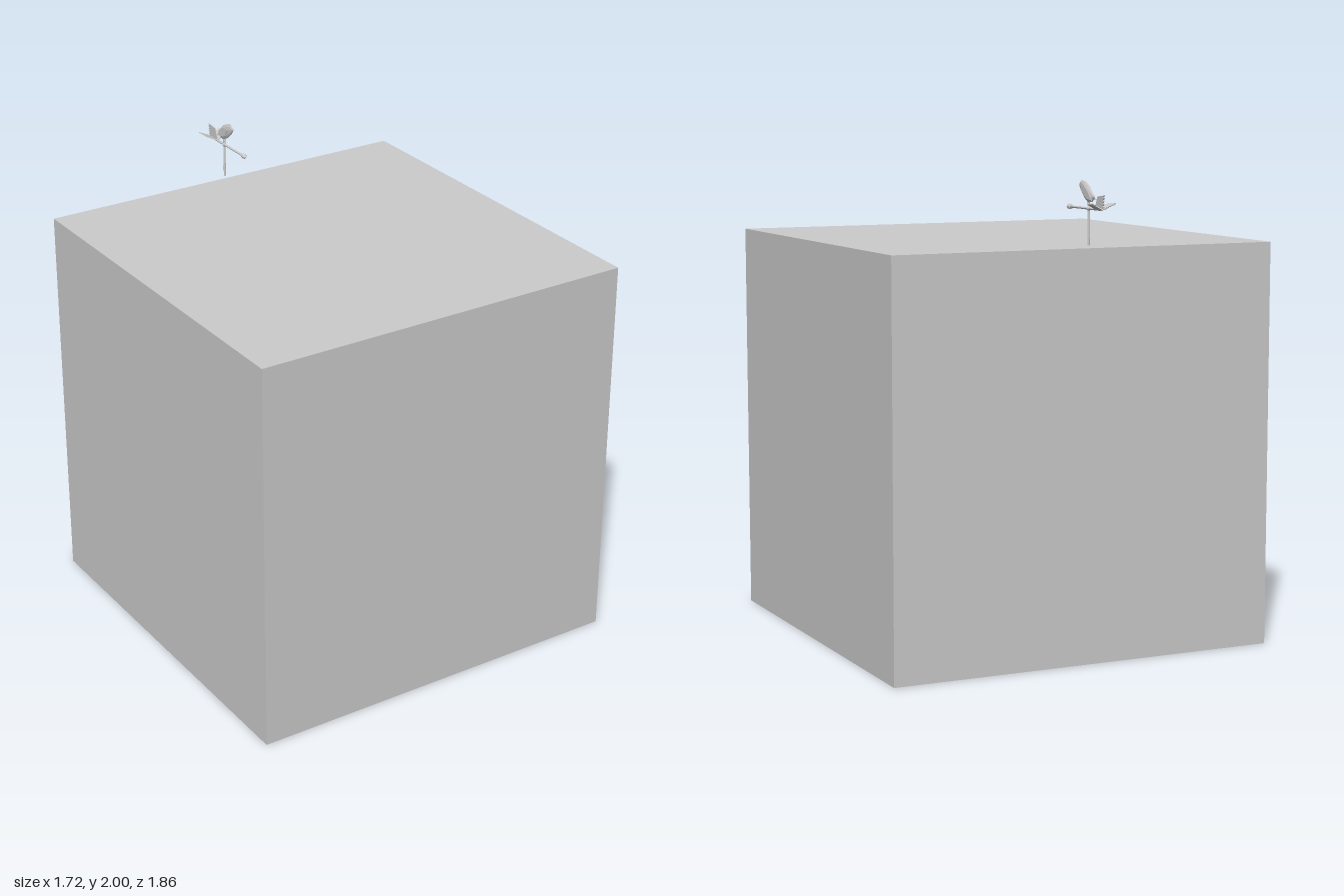
import * as THREE from 'three';

const POLE_Z = -0.795, ROD_Y = 1.887;

export function createModel() {
  const group = new THREE.Group();
  const mat = new THREE.MeshStandardMaterial({ color: 0xcccccc, flatShading: true, side: THREE.DoubleSide });
  const add = (name, geo, x = 0, y = 0, z = 0) => {
    const mesh = new THREE.Mesh(geo, mat);
    mesh.name = name;
    mesh.position.set(x, y, z);
    group.add(mesh);
    return mesh;
  };
  const shape = pts => new THREE.Shape(pts.map(p => new THREE.Vector2(...p)));

  // large block
  add('block', new THREE.BoxGeometry(1.722, 1.726, 1.722), 0, 0.863, 0.069);

  // upright pole with a small hub where the arrow crosses it
  add('pole', new THREE.CylinderGeometry(0.005, 0.005, 0.19, 8), 0, 1.833, POLE_Z);
  add('hub', new THREE.SphereGeometry(0.009, 8, 6), 0, ROD_Y, POLE_Z);

  // arrow rod and pointed head
  add('arrowRod', new THREE.CylinderGeometry(0.005, 0.005, 0.29, 8).rotateX(Math.PI / 2), 0, ROD_Y, -0.765);
  add('arrowHead', new THREE.LatheGeometry([[0, -0.017], [0.011, -0.012], [0.011, 0.002], [0, 0.018]]
    .map(p => new THREE.Vector2(...p)), 8).rotateX(Math.PI / 2), 0, ROD_Y, -0.622);

  // three swept, serrated feathers set evenly round the rod
  const outline = [[-0.85, 0], [-0.872, 0.052], [-0.93, 0.058]];
  for (let i = 0; i < 5; i++) {
    const v = 0.052 - i * 0.012;
    outline.push([-0.913 - v * 0.2, v], [-0.926 - v * 0.1, Math.max(v - 0.005, 0)]);
  }
  outline.push([-0.905, 0]);
  const feather = new THREE.ExtrudeGeometry(shape(outline), { depth: 0.004, bevelEnabled: false })
    .translate(0, 0, -0.002).rotateY(-Math.PI / 2);
  for (let i = 0; i < 3; i++) {
    // the side pair tilts up a little, the middle one stands upright
    add('feather', feather, 0, ROD_Y, 0).rotation.z = (i - 1) * Math.PI / 2.8;
  }

  // leaf-like bird body, thick in the middle and thin at both ends
  const stations = [ // z, lower edge, upper edge, half width
    [-0.715, 1.976, 1.985, 0.003], [-0.735, 1.952, 2.0, 0.008], [-0.765, 1.926, 1.995, 0.012],
    [-0.795, 1.91, 1.981, 0.012], [-0.82, 1.912, 1.958, 0.008], [-0.842, 1.932, 1.938, 0.002]];
  const sides = 10, pos = [], index = [];
  for (const [z, low, high, w] of stations) {
    for (let j = 0; j < sides; j++) {
      const a = j / sides * Math.PI * 2;
      pos.push(w * Math.cos(a), (low + high) / 2 + (high - low) / 2 * Math.sin(a), z);
    }
  }
  for (let i = 0; i < stations.length - 1; i++) {
    for (let j = 0; j < sides; j++) {
      const a = i * sides + j, b = i * sides + (j + 1) % sides;
      index.push(a, b, a + sides, b, b + sides, a + sides);
    }
  }
  const end = (stations.length - 1) * sides;
  for (let j = 1; j < sides - 1; j++) index.push(0, j, j + 1, end, end + j + 1, end + j);
  const body = new THREE.BufferGeometry();
  body.setAttribute('position', new THREE.Float32BufferAttribute(pos, 3));
  body.setIndex(index);
  body.computeVertexNormals();
  add('birdBody', body);

  // folded wings lying along both flanks
  const wing = new THREE.ExtrudeGeometry(
    shape([[-0.745, 1.972], [-0.775, 1.975], [-0.81, 1.95], [-0.838, 1.922], [-0.8, 1.926], [-0.765, 1.945]]),
    { depth: 0.003, bevelEnabled: false }).rotateY(-Math.PI / 2);
  for (const x of [-0.009, 0.012]) add('wing', wing, x);

  return group;
}
